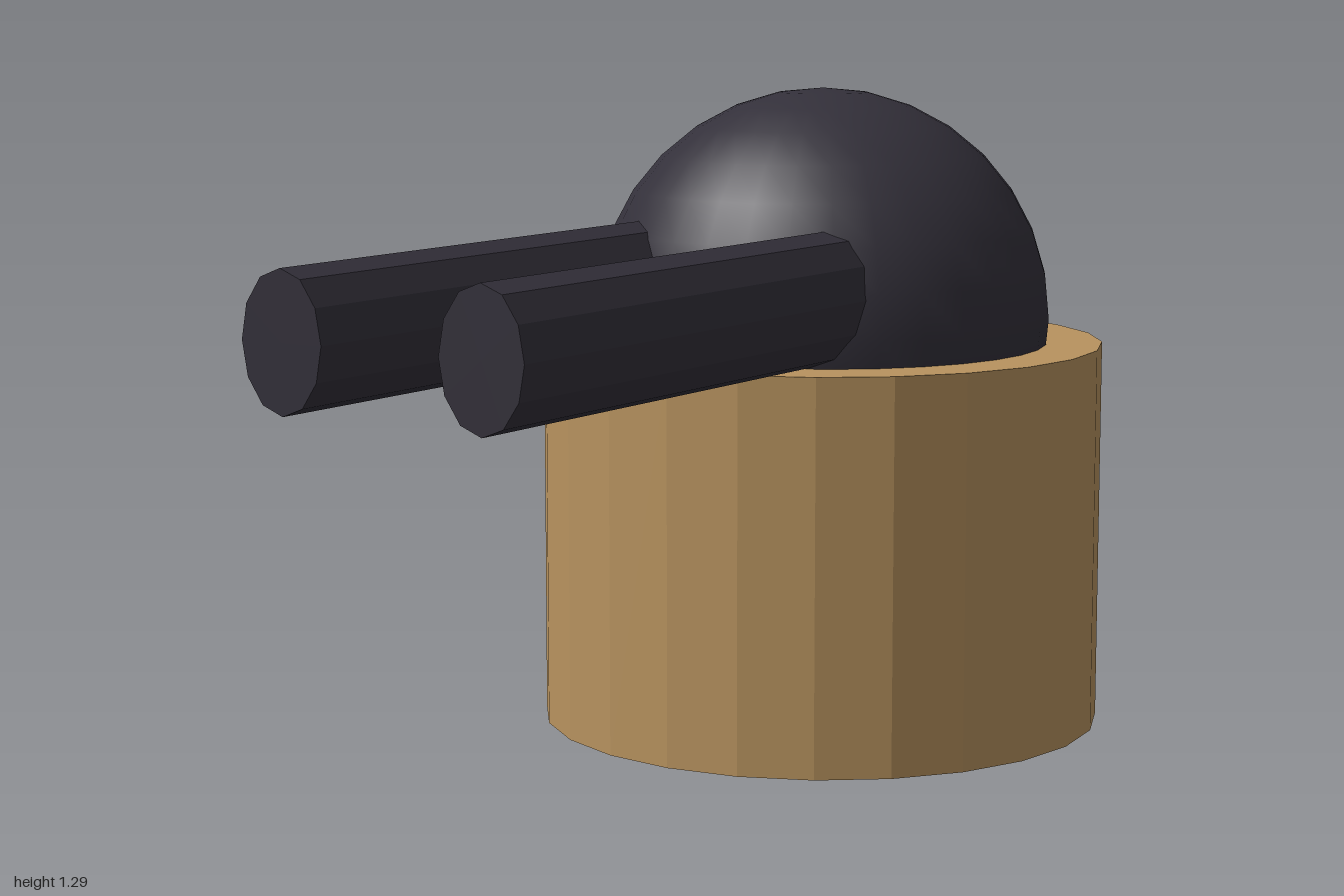
import * as THREE from 'three';

export function createModel() {
  const group = new THREE.Group();
  const tan = new THREE.MeshStandardMaterial({ color: 0xb8935f, flatShading: true });
  const dark = new THREE.MeshStandardMaterial({ color: 0x33303a });
  const darkFaceted = new THREE.MeshStandardMaterial({ color: 0x33303a, flatShading: true });
  const centerZ = -0.43;

  const add = (name, geometry, material, x, y, z) => {
    const mesh = new THREE.Mesh(geometry, material);
    mesh.name = name;
    mesh.position.set(x, y, z);
    group.add(mesh);
  };

  // Faceted round base
  const baseHeight = 0.775;
  add('base', new THREE.CylinderGeometry(0.57, 0.57, baseHeight, 24), tan, 0, baseHeight / 2, centerZ);

  // Smooth dome sunk into the base
  add('dome', new THREE.SphereGeometry(0.462, 32, 16), dark, 0, 0.826, centerZ);

  // Twin oval barrels reaching forward from inside the dome
  const back = -0.3, front = 1;
  const barrel = new THREE.CylinderGeometry(1, 1, front - back, 12)
    .rotateX(Math.PI / 2)
    .scale(0.088, 0.128, 1);
  for (const side of [1, -1]) {
    add(side > 0 ? 'leftBarrel' : 'rightBarrel', barrel, darkFaceted, side * 0.213, 0.905, (front + back) / 2);
  }

  return group;
}
